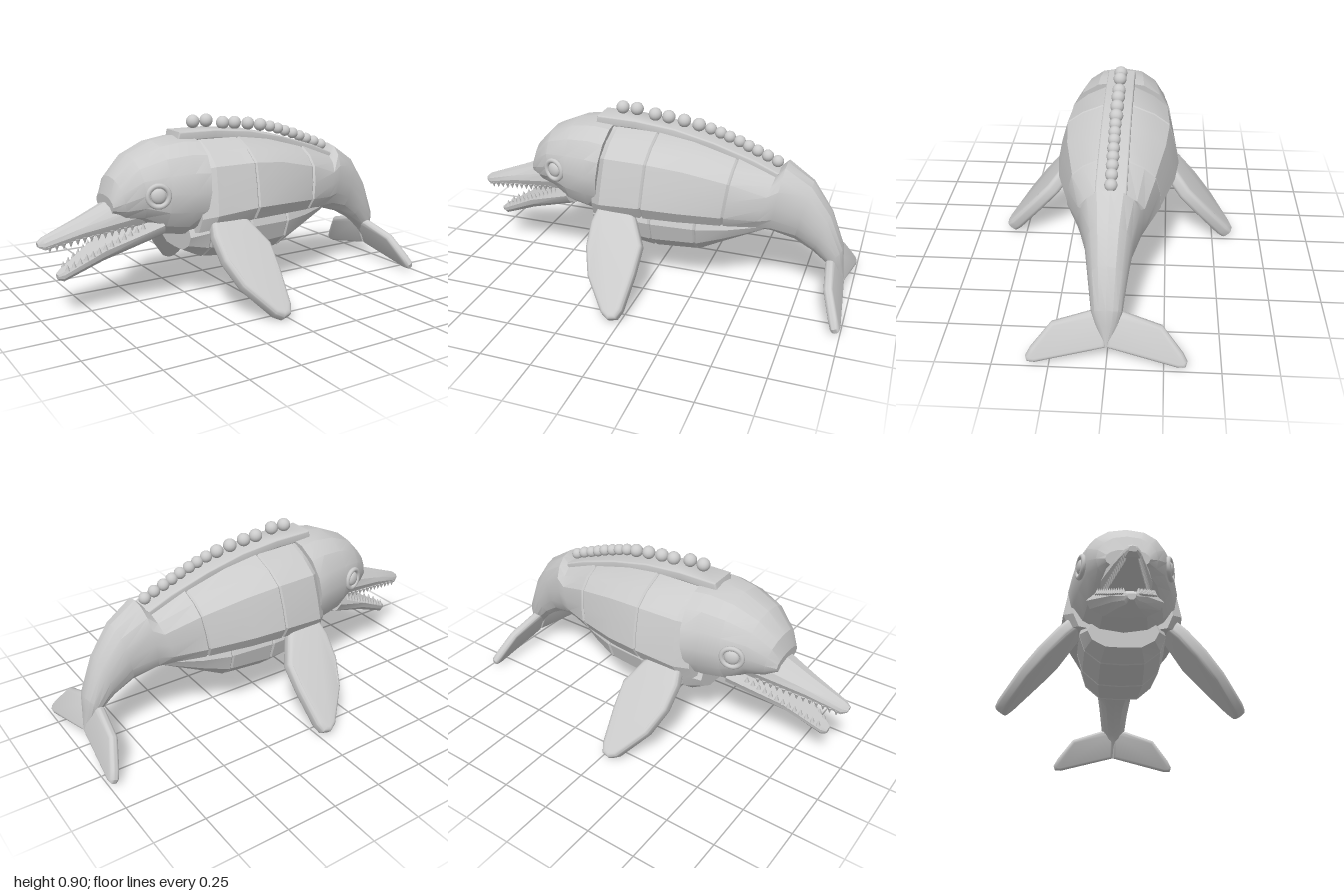
import * as THREE from 'three';
import { toCreasedNormals } from 'three/addons/utils/BufferGeometryUtils.js';

const material = new THREE.MeshStandardMaterial({ color: 0xcccccc });

// Half cross-sections from top to bottom: [share of half width, share of height]
const ROUND = Array.from({ length: 9 }, (_, i) => {
  const a = (i / 8) * Math.PI;
  return [Math.sin(a) ** 0.85, 0.5 + 0.5 * Math.cos(a)];
});
const SHOULDERED = [[0, 1], [0.25, 0.985], [0.58, 0.88], [0.83, 0.74], [0.93, 0.48], [1, 0.22], [0.88, 0.06], [0.45, 0.01], [0, 0]];
const KEEL = [[0, 1], [0.9, 1], [1, 0.7], [0.87, 0.32], [0.5, 0.03], [0, 0]];
const BEAK = [[0, 1], [0.55, 0.9], [0.9, 0.6], [1, 0.3], [0.85, 0], [0, 0]];
const JAW = [[0, 1], [0.85, 1], [1, 0.7], [0.9, 0.35], [0.55, 0.05], [0, 0]];

// Skin over rows [topX, topY, bottomX, bottomY, halfWidth], ordered along +x
function loft(rows, section, crease = 0.4) {
  const pos = [], index = [];
  let n = 0;
  rows.forEach(([xt, yt, xb, yb, w]) => {
    const half = typeof section === 'function' ? section(xt) : section;
    const ring = [...half, ...half.slice(1, -1).reverse().map(([z, t]) => [-z, t])];
    n = ring.length;
    ring.forEach(([z, t]) => pos.push(xb + (xt - xb) * t, yb + (yt - yb) * t, z * w));
  });
  for (let i = 0; i < rows.length - 1; i++) {
    for (let j = 0; j < n; j++) {
      const a = i * n + j, b = i * n + ((j + 1) % n);
      index.push(a, b, a + n, b, b + n, a + n);
    }
  }
  // End caps
  [0, rows.length - 1].forEach((r, end) => {
    const [xt, yt, xb, yb] = rows[r], c = pos.length / 3;
    pos.push((xt + xb) / 2, (yt + yb) / 2, 0);
    for (let j = 0; j < n; j++) {
      const a = r * n + j, b = r * n + ((j + 1) % n);
      index.push(...(end ? [c, a, b] : [c, b, a]));
    }
  });
  const g = new THREE.BufferGeometry();
  g.setAttribute('position', new THREE.Float32BufferAttribute(pos, 3));
  g.setIndex(index);
  return toCreasedNormals(g, crease);
}

// Cut a narrow groove at each listed row
function withSeams(rows, seams) {
  return rows.flatMap((r, i) => {
    if (!seams.includes(i)) return [r];
    const [xt, yt, xb, yb, w] = r, d = 0.008;
    return [[xt - d, yt, xb - d, yb, w], [xt, yt - d, xb, yb + d, w - d], [xt + d, yt, xb + d, yb, w]];
  });
}

// Plate with rounded edges, centred on its thickness
function plate(points, thickness, bevel, hole) {
  const shape = new THREE.Shape(points.map(p => new THREE.Vector2(...p)));
  if (hole) shape.holes.push(new THREE.Path(hole.map(p => new THREE.Vector2(...p))));
  const g = new THREE.ExtrudeGeometry(shape, {
    depth: thickness - 2 * bevel, bevelEnabled: bevel > 0, bevelThickness: bevel,
    bevelSize: bevel, bevelOffset: -bevel, bevelSegments: 4,
  });
  g.translate(0, 0, bevel - thickness / 2);
  return toCreasedNormals(g, 0.7);
}

export function createModel() {
  const model = new THREE.Group();
  const add = (name, geometry, parent = model) => {
    const m = new THREE.Mesh(geometry, material);
    m.name = name;
    parent.add(m);
    return m;
  };

  // Trunk curving down into the tail stock
  const trunkSection = x => {
    const k = THREE.MathUtils.clamp((x - 0.3) / 0.45, 0, 1);
    return SHOULDERED.map(([z, t], i) => [z + (ROUND[i][0] - z) * k, t + (ROUND[i][1] - t) * k]);
  };
  add('trunk', loft(withSeams([
    [-0.25, 0.78, -0.28, 0.34, 0.24], [-0.19, 0.795, -0.22, 0.36, 0.29], [0.02, 0.79, 0.0, 0.385, 0.305],
    [0.2, 0.765, 0.17, 0.385, 0.285], [0.42, 0.71, 0.38, 0.365, 0.225], [0.61, 0.645, 0.52, 0.345, 0.165],
    [0.65, 0.69, 0.6, 0.335, 0.145], [0.78, 0.605, 0.71, 0.3, 0.105], [0.88, 0.46, 0.8, 0.25, 0.085],
    [0.95, 0.28, 0.865, 0.2, 0.068], [0.955, 0.2, 0.89, 0.17, 0.05], [0.965, 0.09, 0.95, 0.085, 0.006],
  ], [2, 4]), trunkSection));

  // Head shell
  add('head', loft([
    [-0.668, 0.56, -0.66, 0.47, 0.1], [-0.64, 0.645, -0.6, 0.43, 0.14], [-0.55, 0.738, -0.52, 0.41, 0.19],
    [-0.42, 0.795, -0.43, 0.345, 0.23], [-0.3, 0.812, -0.32, 0.325, 0.253], [-0.215, 0.805, -0.26, 0.33, 0.268],
  ], ROUND));

  // Beak and jaw
  add('upperBeak', loft([
    [-1, 0.378, -0.995, 0.355, 0.018], [-0.975, 0.398, -0.97, 0.343, 0.034],
    [-0.8, 0.465, -0.8, 0.382, 0.068], [-0.58, 0.56, -0.5, 0.42, 0.125],
  ], BEAK));
  add('lowerJaw', loft([
    [-0.912, 0.21, -0.91, 0.185, 0.018], [-0.885, 0.228, -0.885, 0.175, 0.034],
    [-0.7, 0.335, -0.7, 0.25, 0.08], [-0.45, 0.45, -0.42, 0.345, 0.18],
  ], JAW));

  // Teeth along both edges of the mouth
  const teeth = new THREE.Group();
  teeth.name = 'teeth';
  model.add(teeth);
  const tooth = new THREE.ConeGeometry(0.012, 0.032, 6);
  for (const s of [1, -1]) {
    for (let i = 0; i < 13; i++) {
      const k = i / 12;
      const up = add('upperTooth', tooth, teeth);
      up.position.set(-0.95 + 0.38 * k, 0.343 + 0.062 * k, s * (0.03 + 0.066 * k));
      up.rotation.x = Math.PI;
      add('lowerTooth', tooth, teeth).position.set(-0.87 + 0.34 * k, 0.245 + 0.175 * k, s * (0.03 + 0.1 * k));
    }
  }

  // Belly keel
  add('belly', loft(withSeams([
    [-0.3, 0.37, -0.3, 0.25, 0.17], [-0.2, 0.42, -0.2, 0.205, 0.21], [0.02, 0.43, 0.02, 0.18, 0.22],
    [0.25, 0.42, 0.24, 0.192, 0.2], [0.4, 0.4, 0.37, 0.25, 0.16], [0.57, 0.38, 0.56, 0.33, 0.08],
  ], [1, 2, 3]), KEEL, 0.25));

  // Back strip with a row of beads
  const crest = [[-0.3, 0.832], [-0.1, 0.83], [0.1, 0.81], [0.3, 0.765], [0.5, 0.702], [0.62, 0.65]];
  add('backStrip', plate([...crest, ...crest.map(([x, y]) => [x - 0.01, y - 0.045]).reverse()], 0.14, 0.008));
  const beads = new THREE.Group();
  beads.name = 'backBeads';
  model.add(beads);
  const beadSpots = [[-0.19, 0.868], [-0.115, 0.868], [-0.02, 0.85], [0.05, 0.845], [0.13, 0.835], [0.205, 0.823],
    [0.265, 0.81], [0.315, 0.795], [0.36, 0.78], [0.41, 0.763], [0.455, 0.745], [0.5, 0.727], [0.55, 0.708], [0.6, 0.686]];
  beadSpots.forEach(([x, y], i) =>
    add('bead', new THREE.SphereGeometry(i < 6 ? 0.033 : 0.029, 16, 12), beads).position.set(x, y, 0));

  // Outline of a flipper: x, distance from the root
  const fin = [[-0.23, 0], [-0.19, -0.03], [-0.08, -0.03], [-0.03, 0.03], [0.035, 0.16], [0.03, 0.3], [0.01, 0.48],
    [-0.01, 0.525], [-0.05, 0.535], [-0.09, 0.51], [-0.2, 0.35], [-0.245, 0.21], [-0.25, 0.08]];
  const shrink = k => fin.map(([x, y]) => [-0.1 + (x + 0.1) * k, 0.23 + (y - 0.23) * k]);
  const fluke = [[0, 0], [0.07, 0], [0.24, 0.055], [0.33, 0.17], [0.352, 0.21], [0.345, 0.235], [0.31, 0.238], [0, 0.16]];

  for (const s of [1, -1]) {
    const side = s > 0 ? 'left' : 'right';

    // Eyes
    const eye = new THREE.Group();
    eye.name = side + 'Eye';
    eye.position.set(-0.485, 0.57, s * 0.208);
    eye.rotation.y = s > 0 ? -0.3 : Math.PI + 0.3;
    add('eyeRim', new THREE.TorusGeometry(0.05, 0.012, 10, 28), eye);
    add('eyeball', new THREE.SphereGeometry(0.036, 20, 12).scale(1, 1, 0.5), eye);
    model.add(eye);

    // Flippers: rounded rim around a slightly sunken panel
    const flipper = new THREE.Group();
    flipper.name = side + 'Flipper';
    add('rim', plate(fin, 0.07, 0.022, shrink(0.7)), flipper);
    add('panel', plate(shrink(0.73), 0.06, 0), flipper);
    const X = new THREE.Vector3(1, 0, 0), V = new THREE.Vector3(0, -0.75, s * 0.66).normalize();
    flipper.applyMatrix4(new THREE.Matrix4().makeBasis(X, V, X.clone().cross(V)).setPosition(0, 0.415, s * 0.235));
    model.add(flipper);

    // Tail flukes
    const U = new THREE.Vector3(0, 0, s), D = new THREE.Vector3(0.39, -0.92, 0).normalize();
    add(side + 'Fluke', plate(fluke, 0.045, 0.018))
      .applyMatrix4(new THREE.Matrix4().makeBasis(U, D, U.clone().cross(D)).setPosition(0.89, 0.23, 0));
  }
  return model;
}
